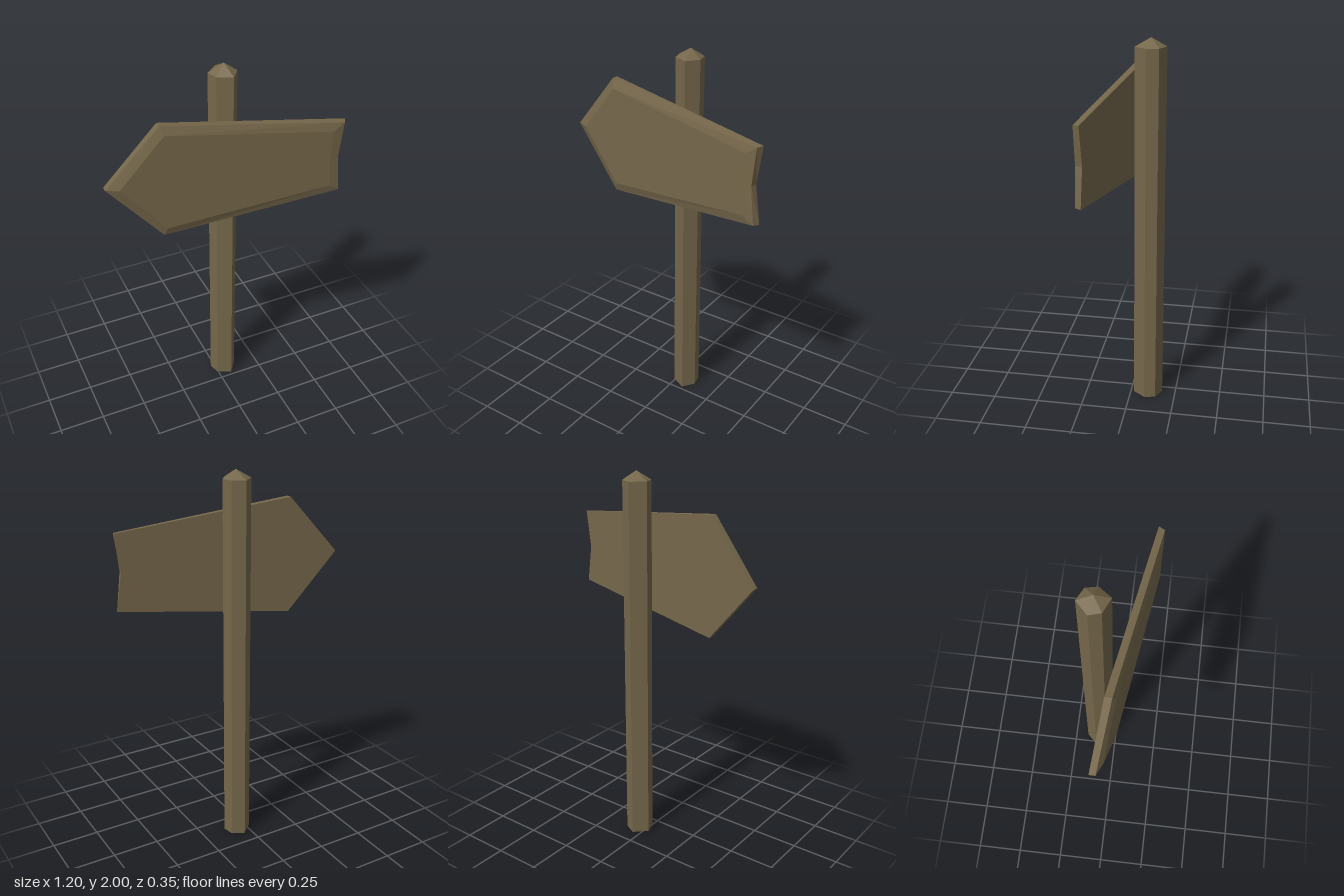
import * as THREE from 'three';

// Joins matching rings of points with quads; optional end points close each end with a fan.
function loft(rings, startPoint, endPoint) {
  const pos = [];
  const tri = (a, b, c) => pos.push(...a, ...b, ...c);
  const n = rings[0].length;
  for (let i = 0; i < n; i++) {
    const j = (i + 1) % n;
    for (let k = 0; k < rings.length - 1; k++) {
      const r = rings[k], s = rings[k + 1];
      tri(r[i], r[j], s[j]);
      tri(r[i], s[j], s[i]);
    }
    const last = rings[rings.length - 1];
    if (startPoint) tri(startPoint, rings[0][j], rings[0][i]);
    if (endPoint) tri(endPoint, last[i], last[j]);
  }
  const geo = new THREE.BufferGeometry();
  geo.setAttribute('position', new THREE.Float32BufferAttribute(pos, 3));
  geo.computeVertexNormals();
  return geo;
}

// Arrow outline, symmetric about its middle height: tip, shoulder, tail corner, notch.
// Each entry is [x, half height, z].
function arrowRing(tip, shoulder, tail, notch) {
  const mid = 1.503;
  const at = ([x, h, z], side) => [x, mid + side * h, z];
  return [at(tip, 0), at(shoulder, -1), at(tail, -1), at(notch, 0), at(tail, 1), at(shoulder, 1)];
}

export function createModel() {
  const model = new THREE.Group();
  model.name = 'signpost';
  const wood = new THREE.MeshStandardMaterial({ color: 0x75674a, flatShading: true, side: THREE.DoubleSide });
  wood.name = 'weathered wood';

  // Slightly uneven six-sided post, open underneath, with a low pointed top
  const section = [[-0.005, -0.054], [0.071, -0.019], [0.119, -0.083], [0.106, -0.144], [0.042, -0.176], [-0.023, -0.115]];
  const level = (y) => section.map(([x, z]) => [x, y, z]);
  const post = new THREE.Mesh(loft([level(0), level(1.955)], null, [0.054, 2, -0.098]), wood);
  post.name = 'post';
  model.add(post);

  // Angled arrow board: back outline, front rim, then the inset bevelled face
  const back = arrowRing([-0.6, 0, -0.05], [-0.33, 0.31, -0.007], [0.6, 0.198, 0.143], [0.57, 0, 0.138]);
  const rim = arrowRing([-0.6, 0, -0.018], [-0.33, 0.31, 0.028], [0.583, 0.196, 0.174], [0.563, 0, 0.172]);
  const face = arrowRing([-0.537, 0, 0.012], [-0.315, 0.262, 0.046], [0.525, 0.157, 0.175], [0.515, 0, 0.174]);
  const board = new THREE.Mesh(loft([back, rim, face], [0, 1.503, 0.046], [0, 1.503, 0.095]), wood);
  board.name = 'arrowBoard';
  model.add(board);

  return model;
}
